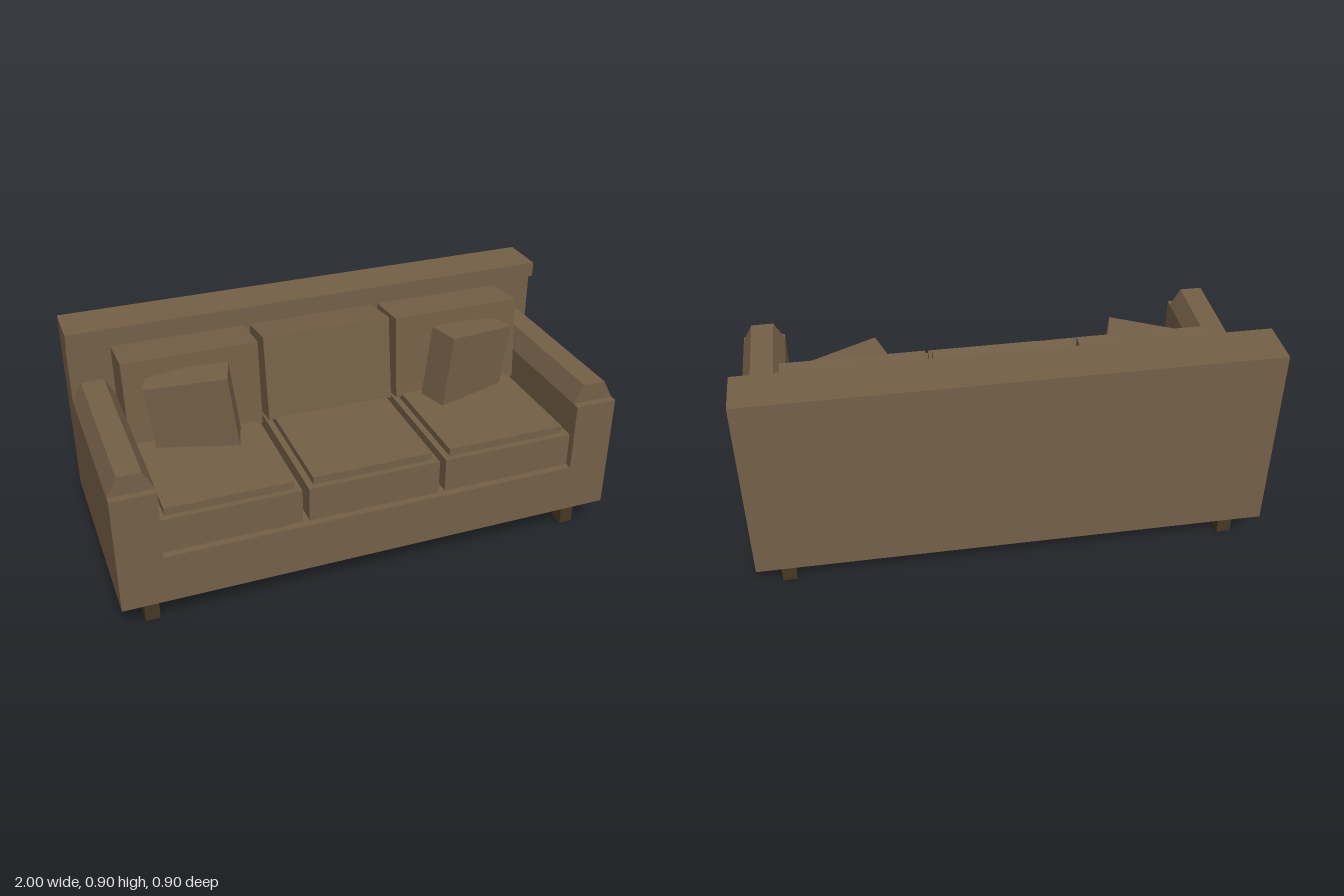
import * as THREE from 'three';

export function createModel() {
  const sofa = new THREE.Group();
  sofa.name = 'sofa';
  const fabric = new THREE.MeshStandardMaterial({ color: 0x735f47, side: THREE.DoubleSide });
  fabric.name = 'brown fabric';
  const wood = new THREE.MeshStandardMaterial({ color: 0x473722 });
  wood.name = 'dark wood';

  function add(name, geometry, material = fabric) {
    const mesh = new THREE.Mesh(geometry, material);
    mesh.name = name;
    sofa.add(mesh);
    return mesh;
  }

  // Box given by its minimum and maximum along each axis
  function block(name, [x0, x1], [y0, y1], [z0, z1], material) {
    const mesh = add(name, new THREE.BoxGeometry(x1 - x0, y1 - y0, z1 - z0), material);
    mesh.position.set((x0 + x1) / 2, (y0 + y1) / 2, (z0 + z1) / 2);
    return mesh;
  }

  // Outline in (x, y) pushed along z
  function prism(points, depth) {
    const shape = new THREE.Shape(points.map(([x, y]) => new THREE.Vector2(x, y)));
    return new THREE.ExtrudeGeometry(shape, { depth, bevelEnabled: false });
  }

  // Base: a hollow shell, open underneath
  const base = block('base', [-1, 1], [0.12, 0.32], [-0.45, 0.45]);
  const index = Array.from(base.geometry.index.array);
  index.splice(18, 6);
  base.geometry.setIndex(index);
  base.geometry.clearGroups();

  // Back with an overhanging top rail, its side outline run across the width
  const back = add('back', prism([
    [0.45, 0.32], [0.45, 0.9], [0.26, 0.9], [0.26, 0.84], [0.29, 0.84], [0.29, 0.32],
  ], 2));
  back.rotation.y = Math.PI / 2;
  back.position.x = -1;

  for (const side of [-1, 1]) {
    const label = side > 0 ? 'left' : 'right';

    // Arm and its sloped pad
    const span = side > 0 ? [0.83, 1] : [-1, -0.83];
    block(label + 'Arm', span, [0.32, 0.6], [-0.29, 0.45]);
    const pad = add(label + 'ArmPad', prism([
      [-0.085, 0], [0.085, 0], [0.045, 0.075], [-0.045, 0.075],
    ], 0.71));
    pad.position.set(side * 0.915, 0.6, -0.29);

    // Throw pillow, turned inwards and leaning
    const pillow = add(label + 'Pillow', new THREE.BoxGeometry(0.32, 0.32, 0.13));
    pillow.position.set(side * 0.58, 0.612, -0.027);
    pillow.rotation.set(0, side * 0.3, -side * 0.12, 'ZYX');

    // Front and back legs
    for (const end of [-1, 1]) {
      const leg = add(label + (end > 0 ? 'FrontLeg' : 'BackLeg'), new THREE.BoxGeometry(0.056, 0.12, 0.06), wood);
      leg.position.set(side * 0.882, 0.06, end * 0.36);
    }
  }

  // Three seats: cushion, raised top and a back cushion that leans
  const seats = [
    { name: 'right', x: [-0.83, -0.293], tilt: 0.085, y: 0.644, z: -0.182 },
    { name: 'middle', x: [-0.267, 0.263], tilt: 0.13, y: 0.6465, z: -0.185 },
    { name: 'left', x: [0.289, 0.83], tilt: 0.085, y: 0.644, z: -0.182 },
  ];
  for (const { name, x: [x0, x1], tilt, y, z } of seats) {
    block(name + 'SeatCushion', [x0, x1], [0.32, 0.46], [-0.29, 0.42]);
    block(name + 'SeatTop', [x0 + 0.025, x1 - 0.025], [0.46, 0.49], [-0.26, 0.395]);
    const cushion = add(name + 'BackCushion', new THREE.BoxGeometry(x1 - x0, 0.35, 0.2));
    cushion.position.set((x0 + x1) / 2, y, z);
    cushion.rotation.x = -tilt;
  }

  return sofa;
}
